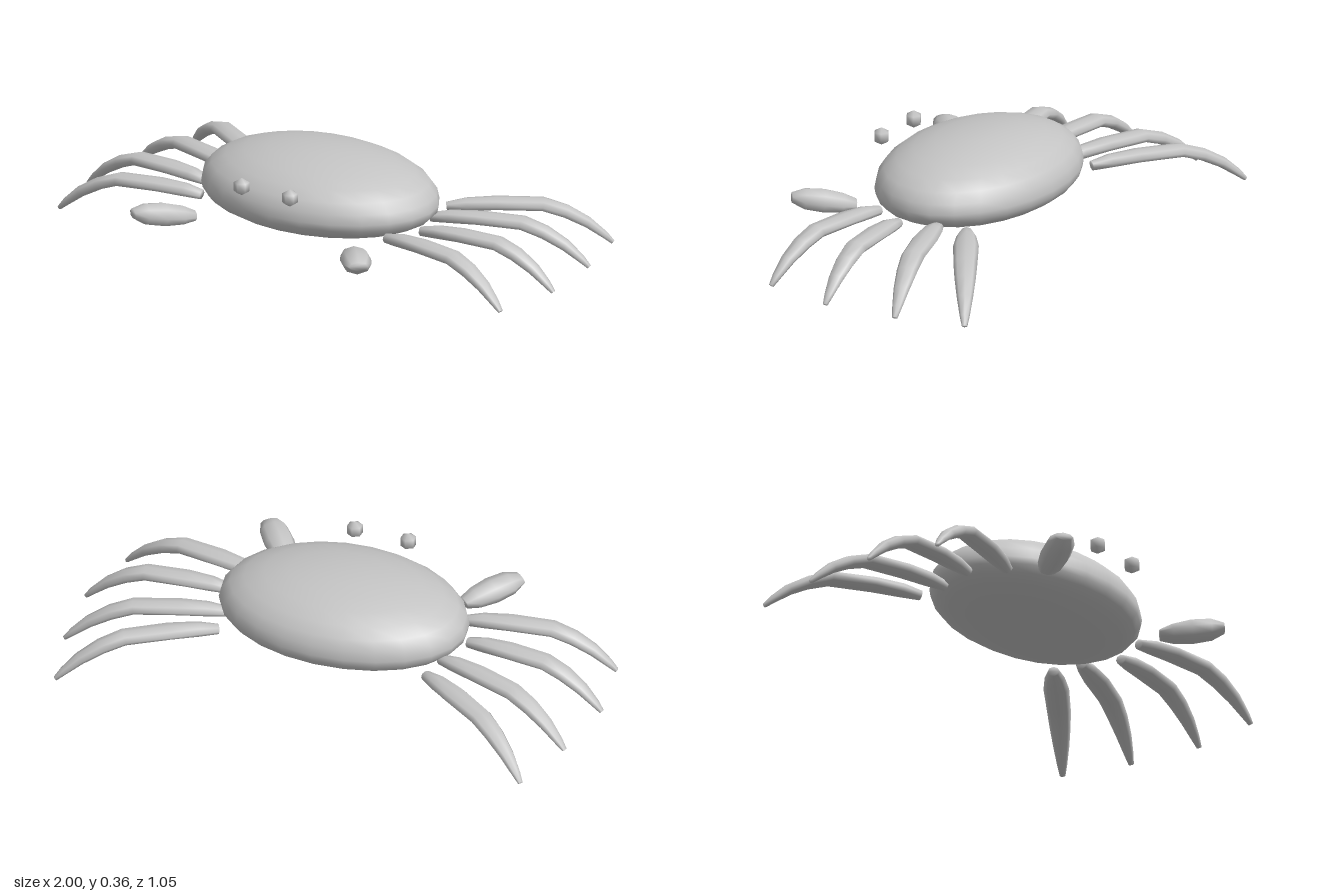
import * as THREE from 'three';
import { mergeVertices } from 'three/addons/utils/BufferGeometryUtils.js';

// Smooth closed loft: each section is [centre, halfWidth, halfHeight]
function loft(sections, sides = 8) {
  const pos = [], idx = [], n = sections.length;
  const up = new THREE.Vector3(0, 1, 0);
  sections.forEach(([c, w, h], i) => {
    const a = sections[Math.max(i - 1, 0)][0], b = sections[Math.min(i + 1, n - 1)][0];
    const tangent = b.clone().sub(a).normalize();
    const side = tangent.clone().cross(up).normalize();
    const rise = side.clone().cross(tangent).normalize();
    for (let k = 0; k < sides; k++) {
      const t = (k / sides) * Math.PI * 2;
      const p = c.clone().addScaledVector(side, Math.cos(t) * w).addScaledVector(rise, Math.sin(t) * h);
      pos.push(p.x, p.y, p.z);
    }
  });
  for (let i = 0; i < n - 1; i++) {
    for (let k = 0; k < sides; k++) {
      const a = i * sides + k, b = i * sides + (k + 1) % sides;
      idx.push(a, a + sides, b, b, a + sides, b + sides);
    }
  }
  // End caps
  const last = (n - 1) * sides;
  for (let k = 1; k < sides - 1; k++) {
    idx.push(0, k, k + 1, last, last + k + 1, last + k);
  }
  const geo = new THREE.BufferGeometry();
  geo.setAttribute('position', new THREE.Float32BufferAttribute(pos, 3));
  geo.setIndex(idx);
  geo.computeVertexNormals();
  return geo;
}

// Rounded shell: domed above, squarer and flatter underneath, longer in front
function shellGeometry() {
  let geo = new THREE.SphereGeometry(1, 24, 14);
  geo.deleteAttribute('uv');
  geo.deleteAttribute('normal');
  geo = mergeVertices(geo, 1e-4);
  const p = geo.attributes.position;
  for (let i = 0; i < p.count; i++) {
    const x = p.getX(i), y = p.getY(i), z = p.getZ(i);
    const e = y > 0 ? 2.15 : 2.4;
    const s = Math.pow(Math.pow(Math.hypot(x, z), e) + Math.pow(Math.abs(y), e), -1 / e);
    p.setXYZ(i, x * s * 0.465, 0.195 + y * s * (y > 0 ? 0.164 : 0.11), 0.012 + z * s * (z > 0 ? 0.337 : 0.312));
  }
  geo.computeVertexNormals();
  return geo;
}

export function createModel() {
  const group = new THREE.Group();
  const grey = new THREE.MeshStandardMaterial({ color: 0xc4c4c4 });
  grey.name = 'pale grey';
  const add = (name, geo) => {
    const mesh = new THREE.Mesh(geo, grey);
    mesh.name = name;
    group.add(mesh);
    return mesh;
  };

  add('shell', shellGeometry());

  // Leg root and tip: x, z, x, z
  const legs = [
    [0.395, 0.187, 0.943, 0.28],
    [0.46, 0.06, 0.993, 0.014],
    [0.41, -0.078, 0.963, -0.266],
    [0.4, -0.195, 0.896, -0.521],
  ];
  // Along the leg: fraction, height, half width, half height
  const legProfile = [
    [0, 0.143, 0.021, 0.018], [0.12, 0.152, 0.036, 0.023], [0.3, 0.157, 0.046, 0.022],
    [0.58, 0.153, 0.043, 0.023], [0.72, 0.125, 0.038, 0.023], [0.85, 0.083, 0.029, 0.02],
    [0.95, 0.036, 0.018, 0.014], [1, 0.008, 0.01, 0.008],
  ];
  // Along the claw: fraction, half width, half height
  const clawProfile = [
    [0, 0.032, 0.018], [0.2, 0.048, 0.034], [0.5, 0.056, 0.043], [0.8, 0.052, 0.038], [1, 0.035, 0.016],
  ];

  for (const s of [1, -1]) {
    const label = s > 0 ? 'left' : 'right';

    legs.forEach(([x0, z0, x1, z1], i) => {
      const sections = legProfile.map(([t, y, w, h]) => [
        new THREE.Vector3(s * (x0 + (x1 - x0) * t), y, z0 + (z1 - z0) * t), w, h,
      ]);
      add(`${label}Leg${i + 1}`, loft(sections));
    });

    const root = new THREE.Vector3(s * 0.338, 0.12, 0.322), tip = new THREE.Vector3(s * 0.482, 0.152, 0.502);
    add(`${label}Claw`, loft(clawProfile.map(([t, w, h]) => [root.clone().lerp(tip, t), w, h])));

    // Floating eye
    const eye = add(`${label}Eye`, new THREE.SphereGeometry(0.033, 6, 3));
    eye.rotation.y = Math.PI / 2;
    eye.position.set(s * 0.103, 0.295, 0.372);
  }
  return group;
}
